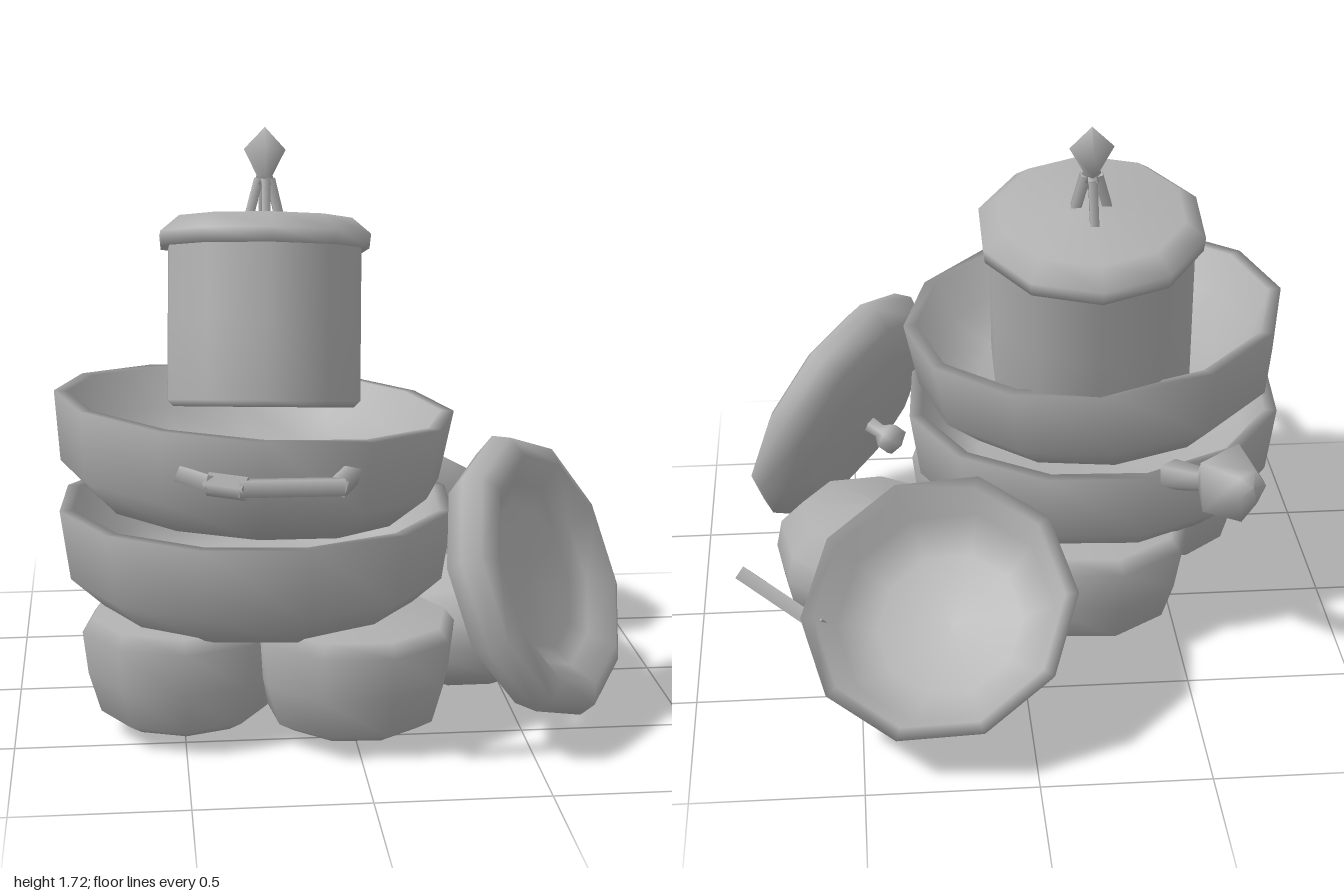
import * as THREE from 'three';

const metal = new THREE.MeshStandardMaterial({ color: 0xb0b0b0, side: THREE.DoubleSide });
metal.name = 'grey metal';
const UP = new THREE.Vector3(0, 1, 0);

// Turned part whose axis points along dir
function turned(name, profile, sides, pos = [0, 0, 0], dir = [0, 1, 0], spin = 0) {
  const geo = new THREE.LatheGeometry(profile.map(p => new THREE.Vector2(...p)), sides);
  geo.rotateY(spin);
  const mesh = new THREE.Mesh(geo, metal);
  mesh.name = name;
  mesh.position.set(...pos);
  mesh.quaternion.setFromUnitVectors(UP, new THREE.Vector3(...dir).normalize());
  return mesh;
}

// Bent bar: straight pieces joined through the given points
function bars(name, points, radius, sides = 4) {
  const group = new THREE.Group();
  group.name = name;
  for (let i = 1; i < points.length; i++) {
    const a = new THREE.Vector3(...points[i - 1]), b = new THREE.Vector3(...points[i]);
    const d = b.clone().sub(a);
    const geo = new THREE.CylinderGeometry(radius, radius, d.length() + radius * 0.8, sides);
    geo.rotateY(Math.PI / 4);
    const bar = new THREE.Mesh(geo, metal);
    bar.name = name + 'Piece';
    bar.position.copy(a).add(b).multiplyScalar(0.5);
    bar.quaternion.setFromUnitVectors(UP, d.normalize());
    group.add(bar);
  }
  return group;
}

export function createModel() {
  const model = new THREE.Group();
  model.name = 'cookwarePile';

  // Three closed pots carrying the stack: name, x, z, width factor
  const smallPot = [[0, 0], [0.2, 0], [0.25, 0.03], [0.285, 0.15], [0.3, 0.28], [0.27, 0.32], [0, 0.33]];
  [['leftPot', -0.5, 0.36, 1], ['frontPot', 0.0, 0.45, 1.03], ['backPot', -0.22, -0.07, 1.14]].forEach(
    ([name, x, z, w], i) => model.add(
      turned(name, smallPot.map(([r, y]) => [r * w, y]), 9, [x, 0.045, z], [0, 1, 0], i)));

  // Tilted pot at the side, with its lid grip
  const sidePot = [[0, 0], [0.2, 0], [0.29, 0.06], [0.325, 0.16], [0.32, 0.25], [0.26, 0.33], [0, 0.37]];
  model.add(turned('sidePot', sidePot, 9, [0.46, 0.03, -0.03], [-0.14, 1, 0]));
  model.add(bars('sidePotGrip',
    [[0.37, 0.36, -0.11], [0.37, 0.41, -0.1], [0.37, 0.41, 0], [0.37, 0.36, 0.02]], 0.018));

  // Two wide pans, stacked
  const panOutside = [[0, 0], [0.46, 0], [0.57, 0.1], [0.6, 0.31], [0.56, 0.31]];
  model.add(turned('lowerPan', [...panOutside, [0.52, 0.13], [0.38, 0.06], [0, 0.04]],
    12, [-0.27, 0.35, 0.2], [0.01, 1, -0.01], 0.2));
  model.add(turned('upperPan', [...panOutside, [0.51, 0.19], [0.38, 0.11], [0.2, 0.08], [0, 0.07]],
    12, [-0.29, 0.65, 0.2], [0.075, 1, -0.03]));
  model.add(bars('upperPanHandle',
    [[-0.5, 0.87, 0.7], [-0.43, 0.9, 0.92], [-0.35, 0.9, 0.97], [-0.09, 0.89, 0.94], [-0.03, 0.86, 0.7]], 0.032));

  // Faceted handle of the lower pan
  model.add(turned('lowerPanHandle',
    [[0, 0], [0.05, 0], [0.035, 0.18], [0.12, 0.3], [0.05, 0.41], [0, 0.42]],
    5, [-0.45, 0.65, -0.36], [-0.17, 0.135, -0.33]));

  // Leaning tall pot with lid and knob, resting on the rear rim of the pan
  const tall = new THREE.Group();
  tall.name = 'tallPot';
  tall.position.set(-0.23, 0.88, -0.065);
  tall.rotation.set(-0.225, 0, -0.03);
  tall.add(turned('tallPotBody', [[0, 0], [0.29, 0], [0.31, 0.02], [0.31, 0.25], [0.31, 0.52]], 10));
  tall.add(turned('tallPotLid',
    [[0.3, 0.5], [0.335, 0.49], [0.34, 0.535], [0.28, 0.585], [0, 0.605]], 10));
  tall.add(bars('lidGripLong', [[0, 0.58, 0.1], [0, 0.69, 0.07], [0, 0.7, -0.04], [0, 0.58, -0.1]], 0.018));
  for (const s of [-1, 1])
    tall.add(bars('lidGripLeg', [[s * 0.05, 0.58, 0], [s * 0.02, 0.7, 0]], 0.02));
  tall.add(turned('lidKnob', [[0, 0.68], [0.035, 0.69], [0.025, 0.72], [0.065, 0.8], [0, 0.87]], 4));
  model.add(tall);

  // Round lid leaning at the front, hollow side outward
  const lean = [0.77, 0.37, 0.52];
  model.add(turned('leaningLid',
    [[0, -0.12], [0.28, -0.11], [0.39, -0.07], [0.43, 0], [0.41, 0.055], [0.35, 0.08], [0.28, 0.02], [0.22, -0.01], [0, -0.02]],
    10, [0.535, 0.485, 0.5], lean, 0.3));
  model.add(turned('leaningLidKnob',
    [[0, -0.25], [0.05, -0.23], [0.05, -0.19], [0.025, -0.16], [0.03, -0.1]], 6, [0.535, 0.485, 0.5], lean));

  // Rounded pan leaning at the back, with a straight handle
  model.add(turned('backPan',
    [[0, -0.21], [0.27, -0.21], [0.37, -0.12], [0.415, 0], [0.375, 0], [0.33, -0.09], [0.22, -0.16], [0, -0.17]],
    10, [0.27, 0.415, -0.665], [0.23, 0.76, -0.58], 0.2));
  model.add(bars('backPanHandle', [[0.62, 0.31, -0.58], [0.84, 0.35, -0.35]], 0.03));

  return model;
}
